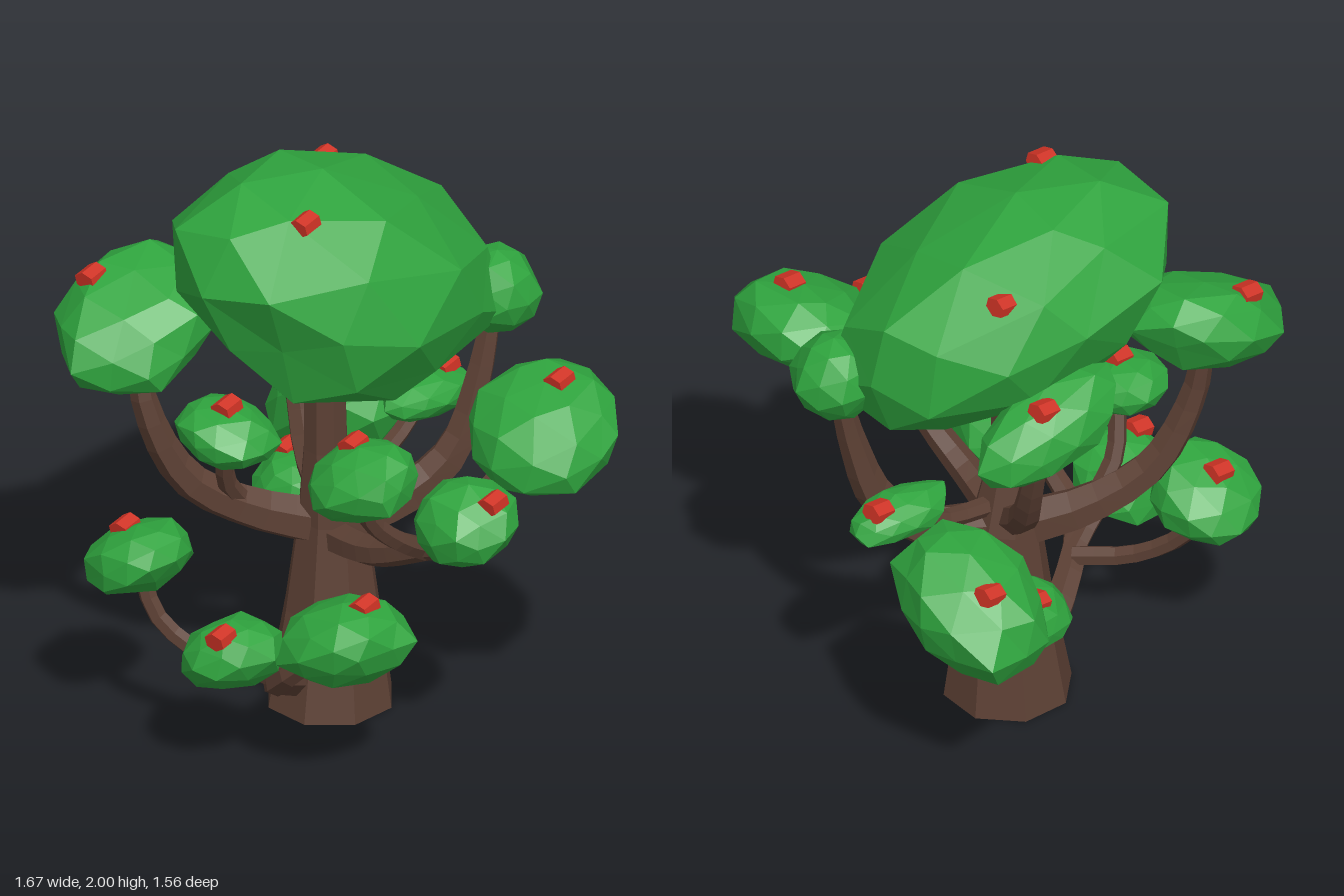
import * as THREE from 'three';

const mat = (name, color) => {
  const m = new THREE.MeshStandardMaterial({ color, flatShading: true });
  m.name = name;
  return m;
};

// Small seeded random source for the faceted leaf shapes
let seed = 7;
const rand = () => {
  seed = (seed * 16807) % 2147483647;
  return seed / 2147483647;
};

// Faceted ball, jittered, tilted along x and z, then sized and placed
function leafGeometry(center, size, tiltX, tiltZ) {
  const geo = new THREE.IcosahedronGeometry(1, 1);
  const pos = geo.attributes.position, v = new THREE.Vector3(), moved = new Map();
  for (let i = 0; i < pos.count; i++) {
    v.fromBufferAttribute(pos, i);
    const key = v.toArray().map((n) => Math.round(n * 100)).join();
    if (!moved.has(key)) {
      const s = 0.95 + rand() * 0.1;
      moved.set(key, [
        v.x * s + (rand() - 0.5) * 0.16,
        v.y * s + tiltX * v.x + tiltZ * v.z,
        v.z * s + (rand() - 0.5) * 0.16,
      ]);
    }
    pos.setXYZ(i, ...moved.get(key));
  }
  geo.center();
  const full = geo.boundingBox.getSize(new THREE.Vector3());
  geo.scale(size[0] / full.x, size[1] / full.y, size[2] / full.z);
  geo.translate(...center);
  geo.computeVertexNormals();
  return geo;
}

// Six-sided tube along a path, narrowing from r0 to r1
function branchGeometry(path, r0, r1) {
  const curve = new THREE.CatmullRomCurve3(path.map((p) => new THREE.Vector3(...p)));
  const steps = (path.length - 1) * 3, sides = 6;
  const geo = new THREE.TubeGeometry(curve, steps, 1, sides);
  const pos = geo.attributes.position, v = new THREE.Vector3();
  for (let k = 0; k < pos.count; k++) {
    const t = Math.floor(k / (sides + 1)) / steps;
    const c = curve.getPointAt(t);
    v.fromBufferAttribute(pos, k).sub(c).multiplyScalar(r0 + (r1 - r0) * t).add(c);
    pos.setXYZ(k, v.x, v.y, v.z);
  }
  geo.computeVertexNormals();
  return geo;
}

// Eight-sided trunk: each row gives height, centre z and radius
function trunkGeometry() {
  const rows = [[0, -0.06, 0.22], [0.35, -0.07, 0.165], [0.68, -0.07, 0.12], [0.95, -0.04, 0.077], [1.5, -0.03, 0.068]];
  const n = rows.length - 1;
  const geo = new THREE.CylinderGeometry(1, 1, 1, 8, n);
  geo.rotateY(Math.PI / 8);
  const pos = geo.attributes.position;
  for (let i = 0; i < pos.count; i++) {
    const [y, z, r] = rows[Math.round((pos.getY(i) + 0.5) * n)];
    pos.setXYZ(i, pos.getX(i) * r - 0.165, y, z + pos.getZ(i) * r);
  }
  geo.computeVertexNormals();
  return geo;
}

export function createModel() {
  seed = 7;
  const model = new THREE.Group();
  model.name = 'tree';
  const bark = mat('bark brown', 0x5c4034);
  const leaf = mat('leaf green', 0x2fa43e);
  const red = mat('fruit red', 0xcf3325);
  bark.side = THREE.DoubleSide;

  const add = (parent, name, geo, material) => {
    const mesh = new THREE.Mesh(geo, material);
    mesh.name = name;
    parent.add(mesh);
    return mesh;
  };

  add(model, 'trunk', trunkGeometry(), bark);

  // Fruit: a small six-sided block
  const fruitGeo = new THREE.CylinderGeometry(0.042, 0.042, 0.075, 6);
  fruitGeo.rotateX(Math.PI / 2);
  fruitGeo.scale(1, 0.8, 1);
  const ray = new THREE.Raycaster();

  // Leaf cluster with fruit resting on it at the given x, z spots
  const leaves = (parent, center, size, [tiltX, tiltZ], ...spots) => {
    const cluster = add(parent, 'leaves', leafGeometry(center, size, tiltX, tiltZ), leaf);
    for (const [x, z] of spots) {
      ray.set(new THREE.Vector3(x, 3, z), new THREE.Vector3(0, -1, 0));
      const fruit = add(parent, 'fruit', fruitGeo, red);
      fruit.position.copy(ray.intersectObject(cluster)[0].point);
      fruit.rotation.set(0.15, 0.1, 0.15);
    }
  };

  // Bough: a branch that ends inside its own leaf cluster
  const bough = (name, radius, path, center, ...cluster) => {
    const group = new THREE.Group();
    group.name = name;
    model.add(group);
    add(group, 'branch', branchGeometry([...path, center], radius, Math.min(radius, 0.03)), bark);
    leaves(group, center, ...cluster);
  };

  // Crown on top of the trunk
  leaves(model, [-0.165, 1.605, -0.055], [0.93, 0.79, 1.17], [-0.25, 0.3], [-0.01, 0.21], [-0.44, -0.3]);

  // Low boughs
  bough('lowLeftBough', 0.06, [[-0.19, 0.1, 0.06], [-0.06, 0.23, 0.28], [0.08, 0.33, 0.42]],
    [0.345, 0.58, 0.385], [0.45, 0.3, 0.43], [0.3, 0], [0.42, 0.36]);
  bough('lowFrontBough', 0.035, [[-0.03, 0.27, 0.32], [0.01, 0.33, 0.42]],
    [0.025, 0.47, 0.575], [0.35, 0.26, 0.35], [0.3, 0], [0.06, 0.67]);
  bough('lowRightBough', 0.035, [[-0.04, 0.28, 0.32], [-0.2, 0.32, 0.45], [-0.36, 0.46, 0.55]],
    [-0.44, 0.66, 0.56], [0.38, 0.28, 0.36], [0.45, 0], [-0.48, 0.58]);
  bough('lowBackBough', 0.05, [[-0.22, 0.18, -0.12], [-0.4, 0.35, -0.32]],
    [-0.555, 0.775, -0.525], [0.57, 0.43, 0.45], [0.4, 0], [-0.7, -0.56]);
  bough('smallLowBough', 0.03, [[-0.39, 0.34, -0.31], [-0.46, 0.44, -0.3]],
    [-0.515, 0.605, -0.265], [0.31, 0.19, 0.29], [0.2, 0], [-0.59, -0.28]);

  // Left boughs
  bough('leftBough', 0.065, [[-0.14, 0.63, -0.04], [0.1, 0.67, 0], [0.33, 0.77, 0], [0.48, 0.85, 0.02]],
    [0.58, 0.99, 0.06], [0.38, 0.28, 0.3], [0, -0.25], [0.69, 0.03]);
  bough('leftFrontBough', 0.04, [[0.34, 0.77, 0], [0.36, 0.87, 0.15], [0.36, 1, 0.28]],
    [0.39, 1.175, 0.345], [0.38, 0.27, 0.33], [0.3, -0.3], [0.33, 0.32]);
  bough('leftBackBough', 0.035, [[0.4, 0.8, 0], [0.46, 0.94, -0.09]],
    [0.55, 1.19, -0.33], [0.56, 0.36, 0.5], [-0.15, -0.4], [0.59, -0.38]);

  // Back boughs
  bough('backBough', 0.09, [[-0.15, 0.66, -0.08], [-0.06, 0.71, -0.32], [0.01, 0.84, -0.46], [0.04, 1.1, -0.55]],
    [0.05, 1.4, -0.615], [0.32, 0.3, 0.33], [0, 0]);
  bough('smallBackBough', 0.035, [[-0.16, 0.76, -0.1], [-0.18, 0.82, -0.35]],
    [-0.195, 0.945, -0.535], [0.21, 0.15, 0.39], [0, 0.1], [-0.21, -0.64]);

  // Right boughs
  bough('rightBough', 0.085, [[-0.19, 0.66, -0.03], [-0.32, 0.73, 0.15], [-0.43, 0.87, 0.34], [-0.5, 1.15, 0.46]],
    [-0.555, 1.475, 0.47], [0.49, 0.41, 0.62], [-0.3, -0.5], [-0.67, 0.55]);
  bough('smallFrontBough', 0.035, [[-0.33, 0.76, 0.18], [-0.32, 0.88, 0.27]],
    [-0.255, 1.11, 0.33], [0.35, 0.2, 0.32], [-0.2, 0], [-0.245, 0.34]);
  bough('rightBackBough', 0.06, [[-0.18, 0.7, -0.07], [-0.34, 0.82, -0.13], [-0.44, 1, -0.18]],
    [-0.56, 1.36, -0.22], [0.32, 0.32, 0.56], [0, 0.5], [-0.61, -0.26]);

  return model;
}
